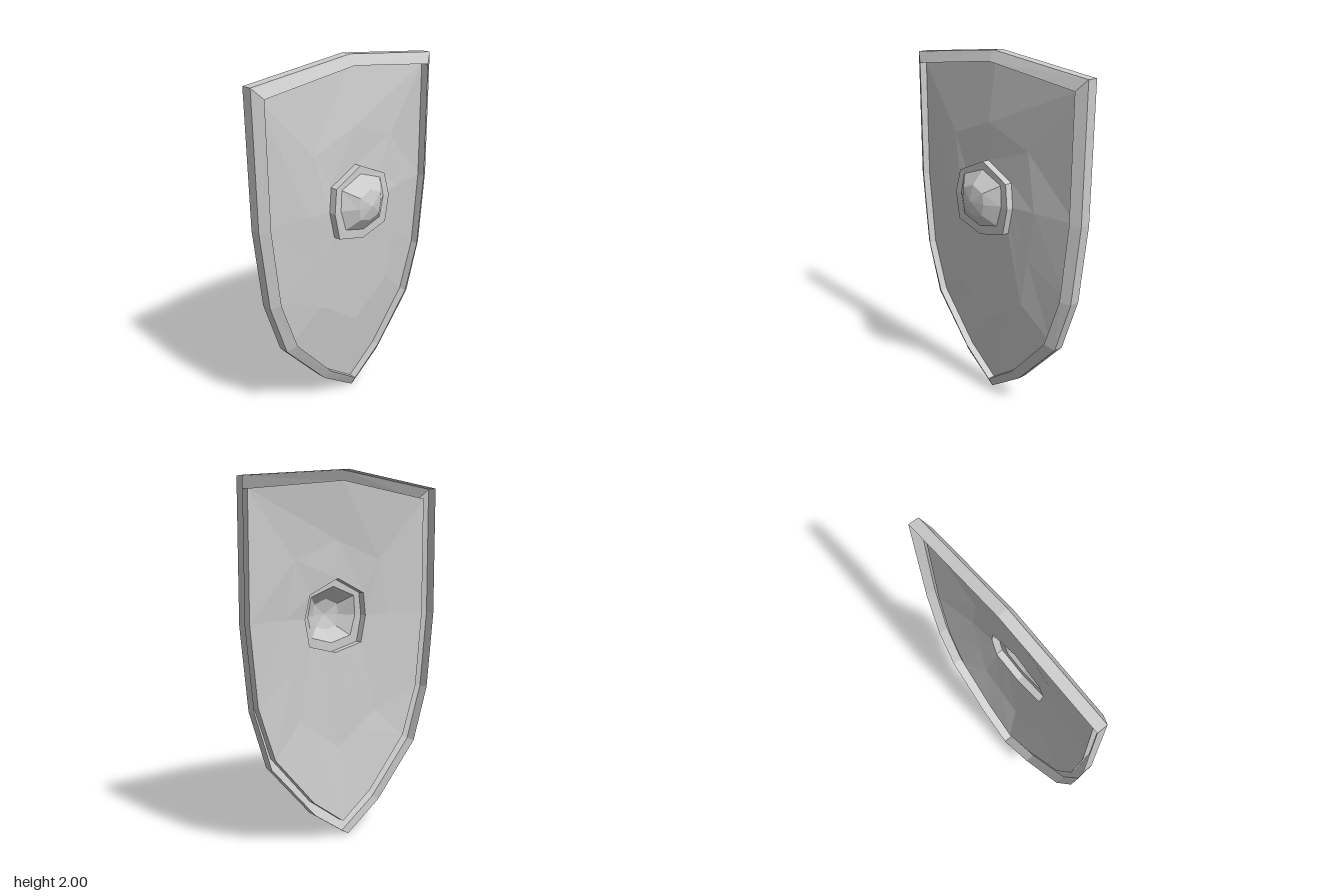
import * as THREE from 'three';

// Mirrors a half outline (top centre, down the +x side, to bottom centre) into a closed loop.
function mirrorLoop(half) {
  const other = half.slice(1, -1).reverse().map(([x, y, z]) => [-x, y, z]);
  return [...half, ...other];
}

// Adds two points to a five-point half outline so that it matches the seven-point border.
function fineLoop([top, corner, side, low, bottom]) {
  const mid = (a, b) => a.map((v, i) => (v + b[i]) / 2);
  return mirrorLoop([top, corner, side, mid(side, low), low, mid(low, bottom), bottom]);
}

const atDepth = (half, z) => half.map(([x, y]) => [x, y, z]);

// Skins a series of matching loops, running from the outside towards the front centre.
function skin(name, loops) {
  const pos = [];
  const tri = (...corners) => pos.push(...corners.flat());
  for (let k = 0; k < loops.length - 1; k++) {
    const a = loops[k], b = loops[k + 1];
    a.forEach((p, i) => {
      const j = (i + 1) % a.length;
      if (b.length === 1) {
        tri(p, b[0], a[j]);
      } else {
        tri(p, b[i], a[j]);
        tri(a[j], b[i], b[j]);
      }
    });
  }
  const geometry = new THREE.BufferGeometry();
  geometry.setAttribute('position', new THREE.Float32BufferAttribute(pos, 3));
  geometry.computeVertexNormals();
  const mesh = new THREE.Mesh(geometry, new THREE.MeshStandardMaterial({
    color: 0xcccccc, flatShading: true, side: THREE.DoubleSide,
  }));
  mesh.name = name;
  return mesh;
}

export function createModel() {
  const group = new THREE.Group();
  group.name = 'shield';

  // Border outlines
  const outer = [[0, 2], [0.645, 1.93], [0.645, 1.21], [0.6, 0.77], [0.5, 0.46], [0.225, 0.155], [0, 0]];
  const inner = [[0, 1.945], [0.593, 1.873], [0.593, 1.21], [0.55, 0.78], [0.45, 0.49], [0.2, 0.205], [0, 0.06]];
  const rimBack = mirrorLoop(atDepth(outer, -0.112));
  const rimFront = mirrorLoop(atDepth(outer, -0.055));
  const rimInner = mirrorLoop(atDepth(inner, -0.023));
  const panelEdge = mirrorLoop(atDepth(inner, -0.068));

  // Swelling of the panel and the slightly tilted collar round the boss
  const swell = fineLoop([[0, 1.63, -0.022], [0.29, 1.525, -0.03], [0.35, 1.215, -0.022], [0.265, 0.66, -0.024], [0, 0.48, -0.017]]);
  const collarBack = fineLoop([[0, 1.425, -0.02], [0.185, 1.34, -0.016], [0.21, 1.21, -0.004], [0.18, 1.06, -0.002], [0, 1.015, 0]]);
  const collarFront = collarBack.map(([x, y, z]) => [x, y, z + 0.041]);
  const domeBase = fineLoop([[0, 1.38, 0.022], [0.148, 1.325, 0.026], [0.165, 1.215, 0.036], [0.133, 1.1, 0.039], [0, 1.065, 0.041]]);
  const domeMiddle = domeBase.map(([x, y]) => [x * 0.52, 1.22 + (y - 1.22) * 0.55, 0.092]);
  const domeTip = [[0, 1.22, 0.112]];

  // Hollow frame: outer wall, front bevel and inner wall, open at the back
  group.add(skin('rim', [rimBack, rimFront, rimInner, panelEdge]));

  // Thin sheet set back inside the frame and rising to the boss
  group.add(skin('panel', [panelEdge, swell, collarBack]));
  group.add(skin('collar', [collarBack, collarFront, domeBase]));
  group.add(skin('boss', [domeBase, domeMiddle, domeTip]));

  return group;
}
